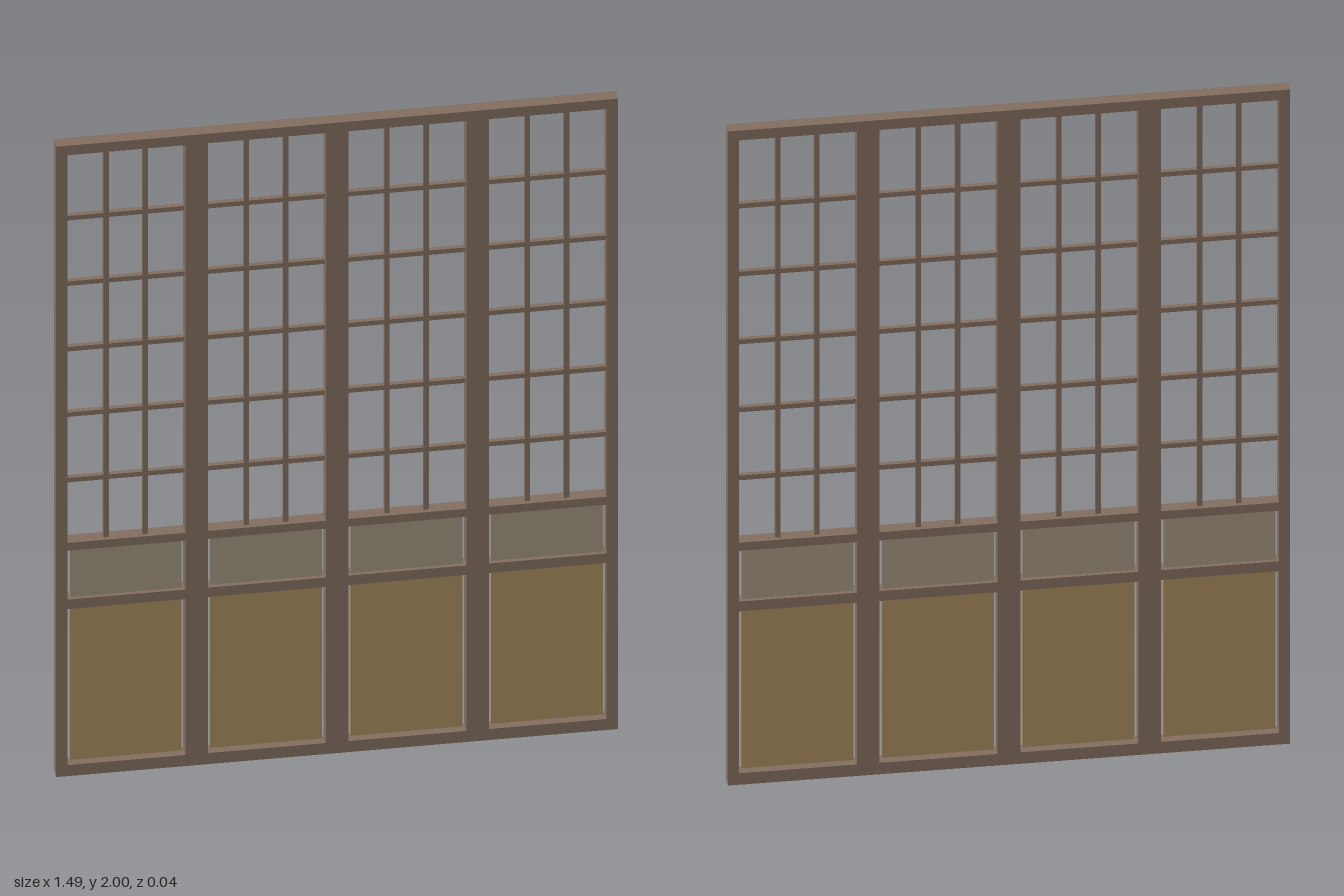
import * as THREE from 'three';

const frameMat = new THREE.MeshStandardMaterial({ color: 0x846f60 });
const upperMat = new THREE.MeshStandardMaterial({ color: 0xa39482 });
const lowerMat = new THREE.MeshStandardMaterial({ color: 0xa98c5f });

// Box given by its x and y limits, centred on z = 0
function slab(name, x0, x1, y0, y1, depth, material) {
  const mesh = new THREE.Mesh(new THREE.BoxGeometry(x1 - x0, y1 - y0, depth), material);
  mesh.position.set((x0 + x1) / 2, (y0 + y1) / 2, 0);
  mesh.name = name;
  return mesh;
}

const W = 0.3735;      // width of one sliding panel
const STILE = 0.03;
const DEPTH = 0.037;
const BAR = 0.014;     // thickness of lattice bars

function createScreen() {
  const screen = new THREE.Group();
  const inner = W / 2 - STILE;

  // Upright stiles
  for (const s of [-1, 1]) {
    const a = s * inner, b = s * W / 2;
    screen.add(slab('stile', Math.min(a, b), Math.max(a, b), 0, 2, DEPTH, frameMat));
  }

  // Cross rails
  const rails = { bottomRail: [0, 0.035], lowerRail: [0.53, 0.56], middleRail: [0.715, 0.74], topRail: [1.97, 2] };
  for (const [name, [y0, y1]] of Object.entries(rails)) {
    screen.add(slab(name, -inner, inner, y0, y1, DEPTH, frameMat));
  }

  // Recessed boards
  const half = inner - 0.008;
  screen.add(slab('upperBoard', -half, half, 0.56, 0.715, 0.014, upperMat));
  screen.add(slab('lowerBoard', -half, half, 0.043, 0.53, 0.014, lowerMat));

  // Window lattice
  for (const x of [-0.052, 0.052]) {
    screen.add(slab('verticalBar', x - BAR / 2, x + BAR / 2, 0.74, 1.97, BAR, frameMat));
  }
  for (let i = 0; i < 5; i++) {
    const y = 0.931 + i * 0.2078;
    screen.add(slab('horizontalBar', -inner, inner, y - BAR / 2, y + BAR / 2, BAR, frameMat));
  }
  return screen;
}

export function createModel() {
  const model = new THREE.Group();
  model.name = 'slidingScreens';
  // Four equal panels side by side
  for (let i = 0; i < 4; i++) {
    const screen = createScreen();
    screen.name = 'screenPanel' + (i + 1);
    screen.position.x = (i - 1.5) * W;
    model.add(screen);
  }
  return model;
}
